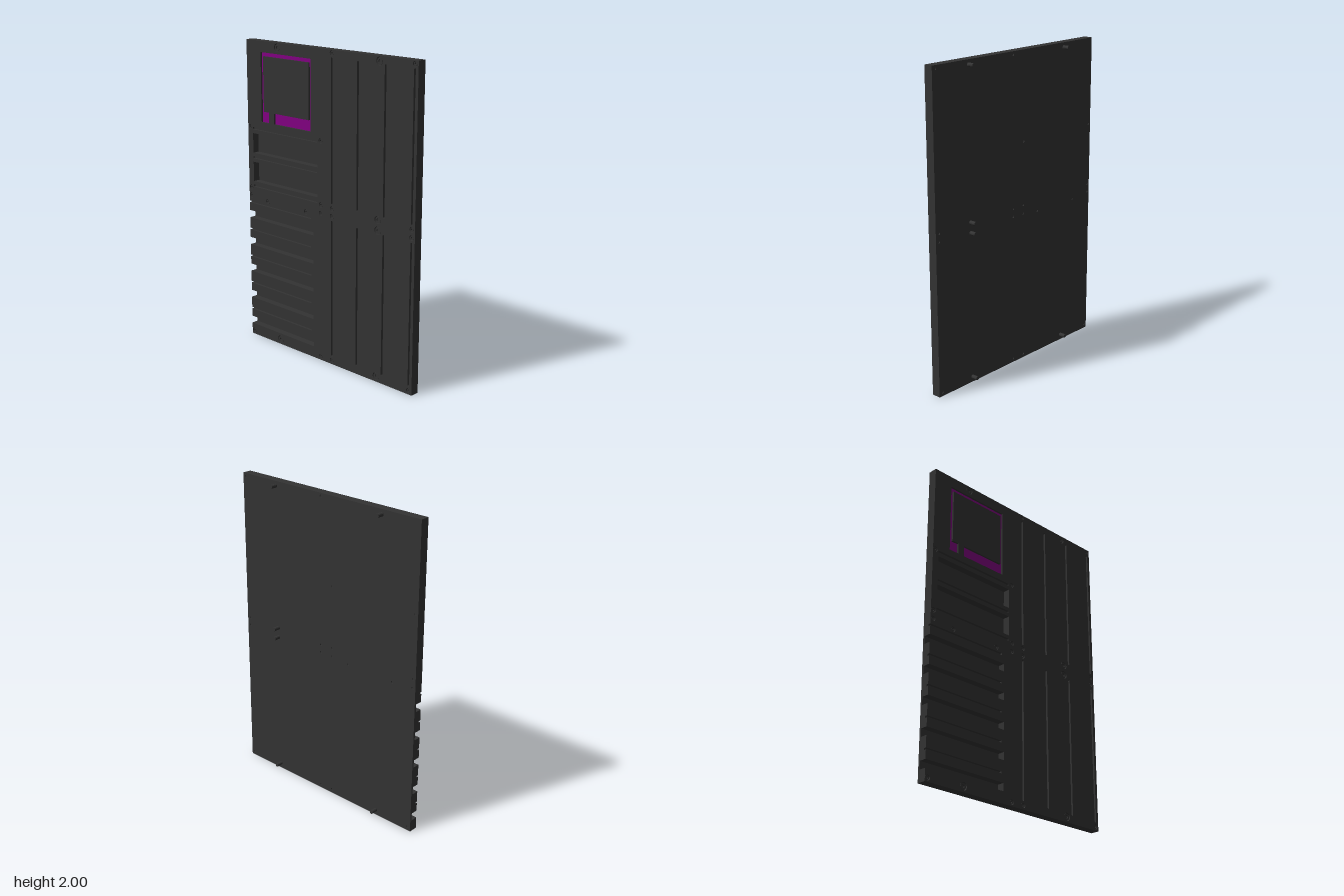
import * as THREE from 'three';

const W = 0.705, H = 2;
const Z_BACK = -0.008, Z_POCKET = 0.004, Z_GROOVE = 0.035, Z_FRONT = 0.05;

const dark = new THREE.MeshStandardMaterial({ color: 0x333333 });
const purple = new THREE.MeshStandardMaterial({ color: 0x800080 });

// Fixing positions
const boltSpots = [[-0.425, 1.97], [0.42, 1.97], [0.42, 1.035], [0.42, 0.97], [-0.425, 0.035], [0.42, 0.035]];
const screwSpots = [[-0.53, 0.965], [-0.18, 0.965], [0.045, 1.98], [0.68, 1.98]];
for (const x of [-0.685, -0.05]) for (const y of [1.44, 1.035, 0.98, 0.025]) screwSpots.push([x, y]);
for (const x of [0.045, 0.68]) for (const y of [1.03, 0.98, 0.025]) screwSpots.push([x, y]);
const BOLT_R = 0.025, SCREW_R = 0.016, TIP_R = 0.008;

// Horizontal cuts that run out through the left edge: [bottom, top, inner end]
const edgeSlots = [], edgeGrooves = [];
for (let i = 0; i < 5; i++) {
  const y = 0.1 + i * 0.1875;
  edgeSlots.push([y - 0.025, y + 0.025, -0.115]);
  edgeGrooves.push([y + 0.078, y + 0.09, -0.135]);
}

const poly = pts => new THREE.Shape(pts.map(p => new THREE.Vector2(...p)));
const rect = (x0, y0, x1, y1) => poly([[x0, y0], [x1, y0], [x1, y1], [x0, y1]]);
const circle = ([x, y], r) => new THREE.Shape().absarc(x, y, r, 0, Math.PI * 2);

// Round-ended groove between two points
function groove(x0, y0, x1, y1, r = 0.007) {
  const a = Math.atan2(y1 - y0, x1 - x0), q = Math.PI / 2;
  return new THREE.Shape().absarc(x1, y1, r, a - q, a + q).absarc(x0, y0, r, a + q, a + 3 * q);
}

// Panel outline with notches down the left edge
function outline(notches) {
  const pts = [[-W, 0], [W, 0], [W, H], [-W, H]];
  for (const [lo, hi, end] of [...notches].sort((a, b) => b[0] - a[0]))
    pts.push([-W, hi], [end, hi], [end, lo], [-W, lo]);
  return poly(pts);
}

function slab(shape, holes, z0, z1, name, material = dark) {
  shape.holes.push(...holes);
  const geo = new THREE.ExtrudeGeometry(shape, { depth: z1 - z0, bevelEnabled: false, curveSegments: 10 });
  geo.translate(0, 0, z0);
  const mesh = new THREE.Mesh(geo, material);
  mesh.name = name;
  return mesh;
}

// Window border: a ring broken by a small bridge in its lower bar
const borderShape = () => poly([
  [-0.505, 1.483], [-0.575, 1.483], [-0.575, 1.93], [-0.133, 1.93], [-0.133, 1.483], [-0.46, 1.483],
  [-0.46, 1.553], [-0.15, 1.553], [-0.15, 1.905], [-0.553, 1.905], [-0.553, 1.553], [-0.505, 1.553]
]);

// Socket-headed fixing whose shank runs from the head back to zEnd
function fixing([x, y], headR, shankR, zEnd, name) {
  const s = headR * 0.5, top = Z_FRONT - 0.003;
  const profile = [
    [0, zEnd], [shankR, zEnd], [shankR, Z_GROOVE], [headR, Z_GROOVE],
    [headR, top], [s, top], [s, top - 0.009], [0, top - 0.009]
  ].map(p => new THREE.Vector2(...p));
  let geo = new THREE.LatheGeometry(profile, 12).toNonIndexed();
  geo.computeVertexNormals();
  geo.rotateX(Math.PI / 2);
  const mesh = new THREE.Mesh(geo, dark);
  mesh.position.set(x, y, 0);
  mesh.name = name;
  return mesh;
}

export function createModel() {
  const model = new THREE.Group();
  model.name = 'panel';

  // Deep rectangular bays
  const bays = () => [1.08, 1.27].map(y => rect(-0.66, y, -0.075, y + 0.13));

  // Shallow grooves on the face
  const grooves = [1.05, 1.24, 1.432].map(y => groove(-0.655, y, -0.085, y));
  for (const x of [0.045, 0.256, 0.467, 0.68])
    grooves.push(groove(x, 0.06, x, 0.945), groove(x, 1.062, x, 1.948));

  // Three stacked layers: backing, deep pockets, shallow grooves
  model.add(
    slab(outline([]), screwSpots.map(p => circle(p, TIP_R)), Z_BACK, Z_POCKET, 'backPlate'),
    slab(outline(edgeSlots), bays(), Z_POCKET, Z_GROOVE, 'pocketLayer'),
    slab(outline([...edgeSlots, ...edgeGrooves]), [
      ...bays(), ...grooves, borderShape(),
      ...boltSpots.map(p => circle(p, BOLT_R)),
      ...screwSpots.map(p => circle(p, SCREW_R))
    ], Z_GROOVE, Z_FRONT, 'faceLayer'),
    slab(borderShape(), [], Z_GROOVE, Z_GROOVE + 0.003, 'windowBorder', purple)
  );

  // Long bolts stick out of the back; short screws stop just inside it
  for (const p of boltSpots) model.add(fixing(p, BOLT_R * 0.85, 0.012, -0.05, 'bolt'));
  for (const p of screwSpots) model.add(fixing(p, SCREW_R * 0.8, TIP_R * 0.9, -0.003, 'screw'));

  return model;
}
